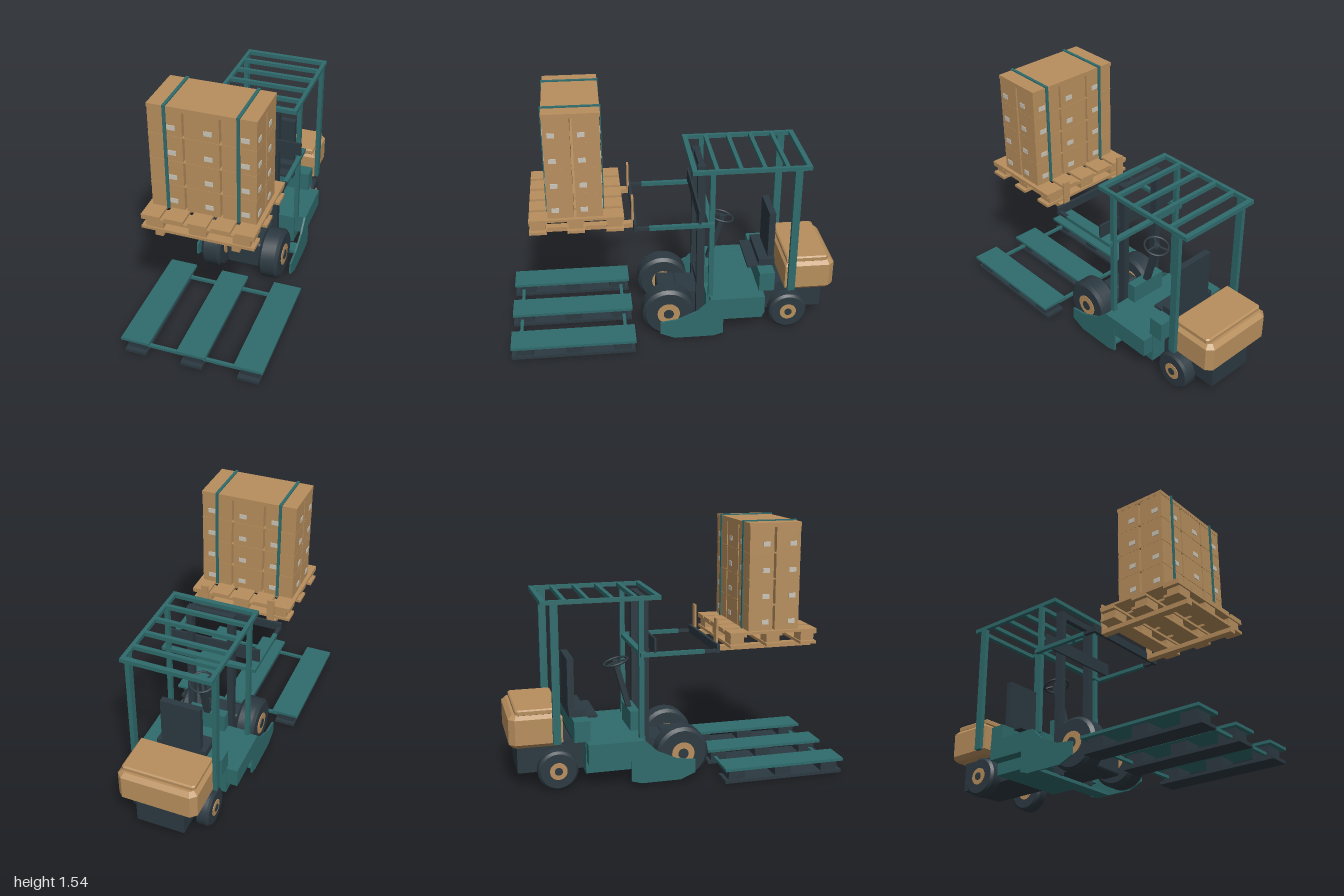
import * as THREE from 'three';
import { toCreasedNormals } from 'three/addons/utils/BufferGeometryUtils.js';
import { RoundedBoxGeometry } from 'three/addons/geometries/RoundedBoxGeometry.js';

const paint = (name, color) => Object.assign(new THREE.MeshStandardMaterial({ color }), { name });

export function createModel() {
  const teal = paint('teal', 0x2f6b6c);
  const dark = paint('charcoal', 0x2c3941);
  const tan = paint('tan', 0xb88f5e);
  const pale = paint('label', 0xcac5b8);
  const model = new THREE.Group();
  model.name = 'forkliftScene';

  const group = (name, parent = model) => {
    const g = new THREE.Group();
    g.name = name;
    parent.add(g);
    return g;
  };
  const add = (parent, name, geo, mat) => {
    const m = new THREE.Mesh(geo, mat);
    m.name = name;
    parent.add(m);
    return m;
  };
  // box given by its extents on each axis
  const box = (parent, name, mat, x0, x1, y0, y1, z0, z1) => {
    const m = add(parent, name, new THREE.BoxGeometry(x1 - x0, y1 - y0, z1 - z0), mat);
    m.position.set((x0 + x1) / 2, (y0 + y1) / 2, (z0 + z1) / 2);
    return m;
  };
  const pair = (fn) => [-1, 1].forEach(fn);
  // box on both sides, from inner to outer distance
  const boxPair = (parent, name, mat, a, b, ...rest) =>
    pair((s) => box(parent, name, mat, Math.min(s * a, s * b), Math.max(s * a, s * b), ...rest));

  // empty pallet on the ground
  const floor = group('groundPallet');
  for (const x of [-0.345, 0, 0.345]) {
    box(floor, 'deckBoard', teal, x - 0.087, x + 0.087, 0.083, 0.1, 0.245, 1);
    box(floor, 'bottomBoard', dark, x - 0.065, x + 0.065, 0, 0.02, 0.25, 1);
    for (const z of [0.325, 0.62, 0.92]) {
      box(floor, 'spacerBlock', dark, x - 0.057, x + 0.057, 0.02, 0.083, z - 0.052, z + 0.052);
    }
  }
  for (const z of [0.3, 0.945]) box(floor, 'crossBar', teal, -0.345, 0.345, 0.028, 0.045, z - 0.01, z + 0.01);

  // raised wooden pallet
  const load = group('loadPallet');
  for (let i = -2; i <= 2; i++) {
    const x = i * 0.135;
    box(load, 'deckBoard', tan, x - 0.055, x + 0.055, 0.885, 0.9, 0.295, 0.84);
  }
  for (const z of [0.348, 0.572, 0.79]) {
    box(load, 'crossBoard', tan, -0.325, 0.325, 0.87, 0.885, z - 0.05, z + 0.05);
    box(load, 'bottomBoard', tan, -0.325, 0.325, 0.808, 0.825, z - 0.05, z + 0.05);
    for (const x of [-0.25, 0, 0.25]) {
      box(load, 'spacerBlock', tan, x - 0.05, x + 0.05, 0.825, 0.87, z - 0.042, z + 0.042);
    }
  }

  // stacked cartons with labels on the outer faces
  const cartons = group('cartonStack');
  for (let row = 0; row < 4; row++) {
    const y = 0.9 + row * 0.154;
    for (const x of [-0.205, 0, 0.205]) {
      for (const z of [0.49, 0.655]) {
        box(cartons, 'carton', tan, x - 0.096, x + 0.096, y, y + 0.15, z - 0.075, z + 0.075);
        const s = z > 0.57 ? 1 : -1, zf = z + s * 0.077;
        box(cartons, 'label', pale, x + 0.012, x + 0.058, y + 0.037, y + 0.065, zf - 0.002, zf + 0.002);
        if (x) {
          const xf = x + Math.sign(x) * 0.098;
          box(cartons, 'label', pale, xf - 0.002, xf + 0.002, y + 0.037, y + 0.065, z + 0.008, z + 0.05);
        }
      }
    }
    box(cartons, 'layerSheet', tan, -0.302, 0.302, y + 0.149, y + 0.155, 0.413, 0.732);
  }
  box(cartons, 'topSheet', tan, -0.303, 0.303, 1.517, 1.537, 0.41, 0.733);
  pair((s) => {
    const x = s * 0.203;
    box(cartons, 'strapTop', teal, x - 0.009, x + 0.009, 1.537, 1.544, 0.404, 0.74);
    for (const z of [0.407, 0.737]) box(cartons, 'strapSide', teal, x - 0.009, x + 0.009, 0.9, 1.544, z - 0.003, z + 0.003);
  });

  // forks, carriage and reach arms
  const lift = group('liftCarriage');
  boxPair(lift, 'forkBlade', tan, 0.197, 0.243, 0.78, 0.808, 0.235, 0.84);
  boxPair(lift, 'forkShank', tan, 0.197, 0.243, 0.78, 0.975, 0.235, 0.248);
  box(lift, 'carriageBar', dark, -0.3, 0.3, 0.78, 0.832, 0.222, 0.24);
  boxPair(lift, 'armTip', dark, 0.276, 0.298, 0.785, 0.803, 0.14, 0.23);
  boxPair(lift, 'reachArm', teal, 0.274, 0.3, 0.783, 0.806, -0.2, 0.15);
  box(lift, 'armCrossBar', teal, -0.3, 0.3, 0.783, 0.806, -0.235, -0.2);
  box(lift, 'mastPlate', dark, -0.295, 0.295, 0.806, 0.89, -0.155, -0.142);

  // mast
  const mast = group('mast');
  boxPair(mast, 'mastRail', dark, 0.11, 0.148, 0.04, 1.11, -0.2, -0.152);
  for (const y of [0.25, 1.07]) box(mast, 'mastCrossMember', dark, -0.115, 0.115, y, y + 0.04, -0.195, -0.16);

  // overhead guard
  const guard = group('overheadGuard');
  boxPair(guard, 'sideRail', teal, 0.245, 0.268, 1.11, 1.135, -0.805, -0.105);
  for (const [z, w] of [[-0.79, 0.03], [-0.665, 0.024], [-0.53, 0.024], [-0.39, 0.024], [-0.25, 0.024], [-0.12, 0.03]]) {
    box(guard, 'roofBar', teal, -0.25, 0.25, 1.11, 1.135, z - w / 2, z + w / 2);
  }
  boxPair(guard, 'frontPost', teal, 0.243, 0.27, 0.28, 1.112, -0.24, -0.21);
  boxPair(guard, 'rearPost', teal, 0.243, 0.27, 0.29, 1.112, -0.75, -0.705);

  // body
  const body = group('body');
  box(body, 'hood', teal, -0.25, 0.25, 0.09, 0.285, -0.56, -0.2);
  boxPair(body, 'sideStep', teal, 0.25, 0.32, 0.165, 0.286, -0.555, -0.22);
  box(body, 'seatPedestal', teal, -0.25, 0.25, 0.285, 0.41, -0.625, -0.53);
  box(body, 'dashboard', teal, -0.12, 0.12, 0.285, 0.405, -0.262, -0.203);
  box(body, 'underPlate', teal, -0.315, 0.315, 0.022, 0.042, -0.25, -0.16);
  const fender = new THREE.Shape([
    [-0.3, 0.286], [-0.3, 0.04], [-0.24, 0.022], [0, 0.022], [0.09, 0.06], [0.09, 0.14],
    [-0.02, 0.155], [-0.14, 0.21], [-0.22, 0.286],
  ].map(([z, y]) => new THREE.Vector2(z, y)));
  const fenderGeo = new THREE.ExtrudeGeometry(fender, { depth: 0.012, bevelEnabled: false }).rotateY(-Math.PI / 2);
  for (const x of [-0.309, 0.321]) add(body, 'sideFender', fenderGeo, teal).position.x = x;
  box(body, 'rearChassis', dark, -0.15, 0.15, 0.09, 0.275, -0.95, -0.56);
  box(body, 'chassisBracket', dark, -0.155, 0.155, 0.245, 0.288, -0.627, -0.54);
  add(body, 'driveHousing', new RoundedBoxGeometry(0.235, 0.19, 0.125, 2, 0.02), dark).position.set(0, 0.14, 0.022);
  box(body, 'driveMount', dark, -0.11, 0.11, 0.06, 0.22, -0.2, -0.035);

  // seat
  const seat = group('seat');
  box(seat, 'seatCushion', dark, -0.155, 0.155, 0.41, 0.455, -0.64, -0.54);
  box(seat, 'seatLip', dark, -0.155, 0.155, 0.4, 0.416, -0.545, -0.47);
  box(seat, 'seatBack', dark, -0.123, 0.123, 0.45, 0.757, -0.64, -0.6);

  // steering column and wheel
  const steering = group('steering');
  const column = box(steering, 'steeringColumn', dark, -0.02, 0.02, 0, 0.31, -0.016, 0.016);
  column.position.set(0, 0.545, -0.285);
  column.rotation.x = -0.27;
  const wheel = group('steeringWheel', steering);
  wheel.position.set(0, 0.692, -0.323);
  wheel.rotation.x = -0.27;
  add(wheel, 'rim', new THREE.TorusGeometry(0.075, 0.007, 8, 24).rotateX(Math.PI / 2), dark);
  add(wheel, 'hub', new THREE.CylinderGeometry(0.02, 0.02, 0.02, 12), dark);
  for (let i = 0; i < 3; i++) {
    const a = i * Math.PI * 2 / 3;
    const spoke = box(wheel, 'spoke', dark, -0.037, 0.037, -0.004, 0.004, -0.006, 0.006);
    spoke.position.set(Math.cos(a) * 0.037, 0, -Math.sin(a) * 0.037);
    spoke.rotation.y = a;
  }

  // counterweight with chamfered corners
  const weight = group('counterweight');
  const slab = (name, hw, z0, z1, y0, y1, cut, bevel) => {
    const w = hw - bevel, a = z0 + bevel, b = z1 - bevel;
    const shape = new THREE.Shape([
      [-w, -b], [w, -b], [w, -a - cut], [w - cut, -a], [-w + cut, -a], [-w, -a - cut],
    ].map(([x, y]) => new THREE.Vector2(x, y)));
    const geo = new THREE.ExtrudeGeometry(shape, {
      depth: y1 - y0 - 2 * bevel, bevelSize: bevel, bevelThickness: bevel, bevelSegments: 1,
    });
    add(weight, name, geo.rotateX(-Math.PI / 2).translate(0, y0 + bevel, 0), tan);
  };
  slab('weightBlock', 0.245, -1, -0.69, 0.27, 0.47, 0.02, 0.025);
  slab('weightCap', 0.225, -0.96, -0.7, 0.46, 0.498, 0.01, 0.008);

  // wheels with tan rims and dark hubs
  const addWheel = (name, x, z, r, width, rimR) => {
    const g = group(name);
    g.position.set(x, r, z);
    const h = width / 2, c = r * 0.12;
    const profile = [[0, -h], [r - c, -h], [r, -h + c], [r, h - c], [r - c, h], [0, h]]
      .map(([a, b]) => new THREE.Vector2(a, b));
    const tyre = toCreasedNormals(new THREE.LatheGeometry(profile, 28), 0.5);
    add(g, 'tyre', tyre.rotateZ(Math.PI / 2), dark);
    const disc = (part, rad, len, mat) =>
      add(g, part, new THREE.CylinderGeometry(rad, rad, len, 20).rotateZ(Math.PI / 2), mat);
    disc('rim', rimR, width + 0.008, tan);
    disc('hub', rimR * 0.45, width + 0.016, dark);
  };
  pair((s) => {
    addWheel('frontWheel', s * 0.191, 0.032, 0.16, 0.128, 0.07);
    addWheel('rearWheel', s * 0.207, -0.722, 0.119, 0.086, 0.052);
  });
  return model;
}
